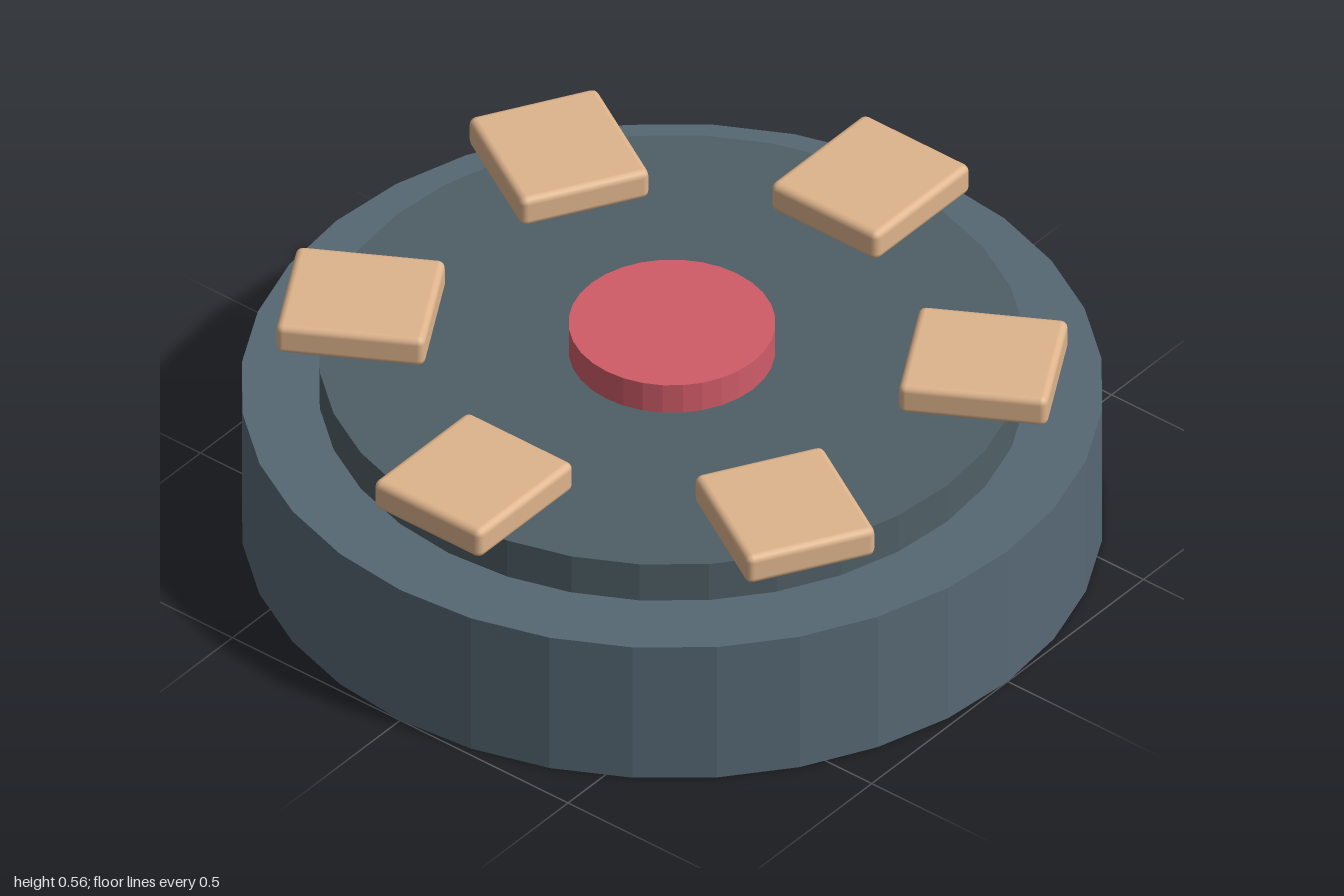
import * as THREE from 'three';
import { RoundedBoxGeometry } from 'three/addons/geometries/RoundedBoxGeometry.js';

const SIDES = 32;

function makeMaterial(color, flatShading = false) {
  return new THREE.MeshStandardMaterial({ color, flatShading });
}

// Upright disc between two heights
function disc(name, radius, bottom, top, material) {
  const height = top - bottom;
  const mesh = new THREE.Mesh(new THREE.CylinderGeometry(radius, radius, height, SIDES), material);
  mesh.name = name;
  mesh.position.y = bottom + height / 2;
  return mesh;
}

export function createModel() {
  const model = new THREE.Group();
  model.name = 'roundPlatform';

  // Stepped base and the button in its middle
  model.add(
    disc('base', 1, 0, 0.38, makeMaterial(0x566874, true)),
    disc('deck', 0.82, 0.38, 0.485, makeMaterial(0x4f5f66, true)),
    disc('centreButton', 0.24, 0.485, 0.565, makeMaterial(0xcf5c68, true))
  );

  // Ring of six rounded pads, overhanging the edge of the deck
  const padGeometry = new RoundedBoxGeometry(0.32, 0.08, 0.35, 2, 0.018);
  const padMaterial = makeMaterial(0xdeb48c);
  const pads = new THREE.Group();
  pads.name = 'pads';
  for (let i = 0; i < 6; i++) {
    const angle = (i * Math.PI) / 3;
    const pad = new THREE.Mesh(padGeometry, padMaterial);
    pad.name = `pad${i + 1}`;
    pad.position.set(0.73 * Math.sin(angle), 0.525, 0.73 * Math.cos(angle));
    pad.rotation.y = angle;
    pads.add(pad);
  }
  model.add(pads);

  return model;
}
